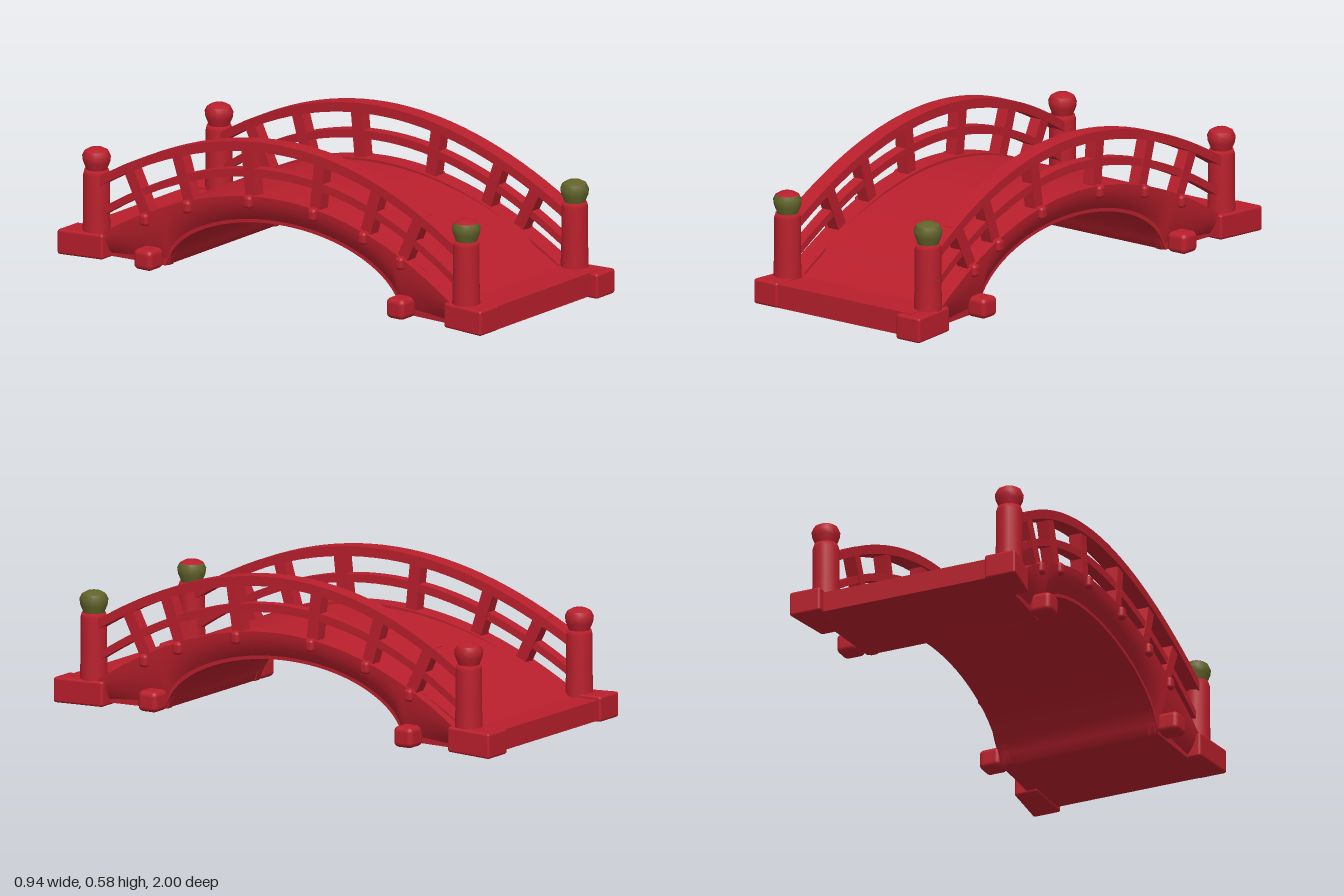
import * as THREE from 'three';
import { RoundedBoxGeometry } from 'three/addons/geometries/RoundedBoxGeometry.js';

const red = new THREE.MeshStandardMaterial({ color: 0xb81f2c });
red.name = 'red paint';
const olive = new THREE.MeshStandardMaterial({ color: 0x62632a });
olive.name = 'olive patina';

// Centre line of each railing: waisted in the middle, wider at the back
const lineX = (side, z) => side * ((side > 0 ? 0.329 : 0.335) - 0.026 * z + 0.042 * z * z);

// Heights along the bridge; the deck has a small step down near the front
const deckTop = (z) => Math.max(0.1, 0.361 - 0.37 * z * z - 0.018 * THREE.MathUtils.smoothstep(z, 0.66, 0.71));
const curbTop = (z) => 0.371 - 0.4 * z * z;
const underside = (z) => 0.015 - 0.006 * z
  + (Math.abs(z) < 0.54 ? 0.245 * (1 - (z / 0.54) ** 2) ** 0.54 : 0);
const topRailY = (z) => 0.565 - 0.37 * z * z;
const midRailY = (z) => 0.46 - 0.4 * z * z;

// A box bent along z; x0, x1, y0, y1 are functions of z, and inset narrows the lower edge
function beam(z0, z1, n, x0, x1, y0, y1, inset = [0, 0]) {
  const geo = new THREE.BoxGeometry(1, 1, 1, 1, 5, n);
  const p = geo.attributes.position;
  for (let i = 0; i < p.count; i++) {
    const z = THREE.MathUtils.lerp(z0, z1, p.getZ(i) + 0.5);
    const v = p.getY(i) + 0.5;
    const k = (1 - v) ** 2;
    const x = THREE.MathUtils.lerp(x0(z) + inset[0] * k, x1(z) - inset[1] * k, p.getX(i) + 0.5);
    p.setXYZ(i, x, THREE.MathUtils.lerp(y0(z), y1(z), v), z);
  }
  geo.computeVertexNormals();
  return geo;
}

export function createModel() {
  const model = new THREE.Group();
  model.name = 'archedFootbridge';

  function add(name, geo, mat, x, y, z, parent) {
    const mesh = new THREE.Mesh(geo, mat);
    mesh.name = name;
    mesh.position.set(x, y, z);
    parent.add(mesh);
    return mesh;
  }

  // Rounded block given by its centre and size
  function block(name, x, y, z, w, h, d, r, parent) {
    return add(name, new RoundedBoxGeometry(w, h, d, 3, r), red, x, y, z, parent);
  }

  // Walkway with its arched underside and flat ends
  add('deck', beam(-0.968, 0.968, 120, (z) => lineX(-1, z), (z) => lineX(1, z), underside, deckTop),
    red, 0, 0, 0, model);

  const balusterZ = {
    1: [0.66, 0.5, 0.22, -0.145, -0.42, -0.64],
    '-1': [0.61, 0.42, 0.165, -0.155, -0.455, -0.66],
  };

  // Profiles of the post cap, from neck to crown, and of the post
  const capProfile = [
    [0.038, 0.34], [0.042, 0.358], [0.052, 0.382], [0.055, 0.405],
    [0.046, 0.424], [0.026, 0.435], [0, 0.438],
  ].map(([r, y]) => new THREE.Vector2(r, y));
  const postProfile = [
    [0.055, 0.06], [0.053, 0.13], [0.051, 0.2], [0.051, 0.335], [0.046, 0.352], [0, 0.355],
  ].map(([r, y]) => new THREE.Vector2(r, y));

  for (const side of [1, -1]) {
    const railing = new THREE.Group();
    railing.name = side > 0 ? 'leftRailing' : 'rightRailing';
    model.add(railing);

    // Bent beam of width w centred on the railing line
    const strip = (name, z0, z1, n, w, y0, y1, inset) => add(name,
      beam(z0, z1, n, (z) => lineX(side, z) - w / 2, (z) => lineX(side, z) + w / 2, y0, y1, inset),
      red, 0, 0, 0, railing);

    strip('curb', -0.82, 0.82, 100, 0.078, underside, curbTop, side > 0 ? [0, 0.05] : [0.05, 0]);
    strip('topRail', -0.85, 0.86, 32, 0.068, (z) => topRailY(z) - 0.019, (z) => topRailY(z) + 0.019);
    strip('middleRail', -0.85, 0.86, 32, 0.045, (z) => midRailY(z) - 0.016, (z) => midRailY(z) + 0.016);

    // Balusters fan out along the arch, each with a small peg outside the curb
    for (const z of balusterZ[side]) {
      const tilt = Math.asin(z / 1.47);
      const y = (curbTop(z) + topRailY(z)) / 2;
      const baluster = add('baluster', new THREE.BoxGeometry(0.05, 0.22, 0.048), red,
        lineX(side, z), y, z, railing);
      baluster.rotation.x = tilt;
      const zp = z - 0.1 * Math.sin(tilt);
      block('peg', lineX(side, zp) + side * 0.032, curbTop(zp) - 0.022, zp, 0.044, 0.05, 0.038, 0.014, railing);
    }

    // Rounded feet where the arch meets the ground
    for (const z of [-0.595, 0.575]) {
      block('foot', lineX(side, z) + side * 0.042, 0.05, z, 0.09, 0.08, 0.085, 0.02, railing);
    }

    // End posts on corner blocks
    for (const end of [1, -1]) {
      const z = end > 0 ? 0.86 : -0.855;
      const x = lineX(side, z);
      const post = new THREE.Group();
      post.name = (end > 0 ? 'front' : 'back') + (side > 0 ? 'Left' : 'Right') + 'Post';
      model.add(post);

      // Corner block, its outer face flaring towards the end of the bridge
      const depth = side > 0 ? 0.21 : 0.19;
      const flare = end > 0 ? 0.02 : 0.035;
      const y0 = end > 0 ? (side > 0 ? 0 : 0.01) : 0.015;
      const corner = block('cornerBlock', x + side * (0.0025 + flare / 4), y0 + 0.049,
        end * (0.79 + depth / 2), 0.095 + flare / 2, 0.098, depth, 0.01, post);
      const p = corner.geometry.attributes.position;
      for (let i = 0; i < p.count; i++) {
        if (p.getX(i) * side > 0) p.setX(i, p.getX(i) + side * end * flare * p.getZ(i) / depth);
      }

      add('postShaft', new THREE.LatheGeometry(postProfile, 16), red, x, 0, z, post);

      // Front caps are olive; the right one has a red crown
      const lower = end > 0 ? olive : red;
      const upper = end > 0 && side > 0 ? olive : red;
      add('capBody', new THREE.LatheGeometry(capProfile.slice(0, 5), 12), lower, x, 0, z, post);
      add('capCrown', new THREE.LatheGeometry(capProfile.slice(4), 12), upper, x, 0, z, post);
    }
  }
  return model;
}
